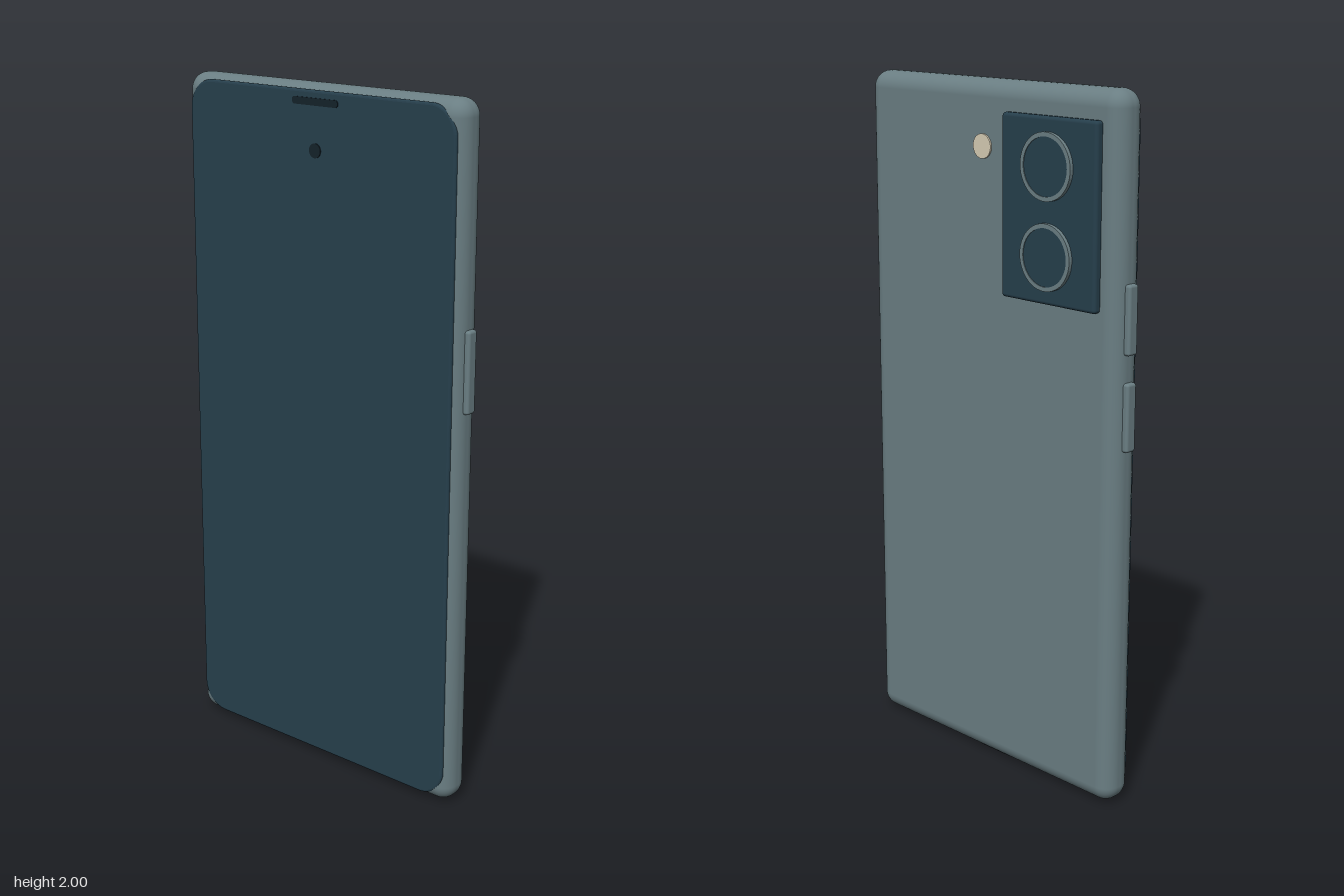
import * as THREE from 'three';
import { RoundedBoxGeometry } from 'three/addons/geometries/RoundedBoxGeometry.js';

const material = (name, color) => {
  const m = new THREE.MeshStandardMaterial({ color });
  m.name = name;
  return m;
};

// Rounded rectangle outline centred on the origin
function roundedRect(w, h, r) {
  const s = new THREE.Shape();
  const x = w / 2, y = h / 2;
  s.moveTo(-x + r, -y);
  s.lineTo(x - r, -y);
  s.absarc(x - r, -y + r, r, -Math.PI / 2, 0);
  s.absarc(x - r, y - r, r, 0, Math.PI / 2);
  s.absarc(-x + r, y - r, r, Math.PI / 2, Math.PI);
  s.absarc(-x + r, -y + r, r, Math.PI, Math.PI * 1.5);
  return s;
}

export function createModel() {
  const phone = new THREE.Group();
  phone.name = 'phone';

  const shell = material('grey green shell', 0x6a7e83);
  const glass = material('dark blue glass', 0x263f4c);
  const black = material('near black', 0x14222a);
  const cream = material('cream flash', 0xd6ccb4);

  const add = (name, geometry, mat, x, y, z) => {
    const mesh = new THREE.Mesh(geometry, mat);
    mesh.name = name;
    mesh.position.set(x, y, z);
    phone.add(mesh);
    return mesh;
  };
  const box = (name, w, h, d, r, mat, x, y, z) =>
    add(name, new RoundedBoxGeometry(w, h, d, 4, r), mat, x, y, z);
  // Disc facing front and back
  const disc = (name, r, depth, mat, x, y, z) =>
    add(name, new THREE.CylinderGeometry(r, r, depth, 40).rotateX(Math.PI / 2), mat, x, y, z);

  const midZ = 0.013;

  // Body with fully rounded edges
  add('body', new RoundedBoxGeometry(0.97, 1.995, 0.106, 6, 0.048), shell, 0, 1.0025, midZ);

  // Screen with bevelled rim
  const bevel = 0.007;
  add('screen', new THREE.ExtrudeGeometry(roundedRect(0.916, 1.951, 0.075), {
    depth: 0.002, bevelEnabled: true, bevelThickness: bevel, bevelSize: bevel,
    bevelSegments: 3, curveSegments: 8,
  }), glass, 0, 1.003, 0.0575);

  // Earpiece and front camera
  add('earpiece', new THREE.ExtrudeGeometry(roundedRect(0.16, 0.02, 0.009), {
    depth: 0.005, bevelEnabled: false,
  }), black, 0, 1.955, 0.064);
  disc('frontCamera', 0.02, 0.005, black, 0, 1.825, 0.0665);

  // Side buttons
  box('volumeUpButton', 0.03, 0.19, 0.036, 0.008, shell, -0.485, 1.405, midZ);
  box('volumeDownButton', 0.03, 0.19, 0.036, 0.008, shell, -0.485, 1.14, midZ);
  box('powerButton', 0.03, 0.23, 0.036, 0.008, shell, 0.483, 1.285, midZ);

  // Rear camera plate with two ringed lenses
  box('cameraPlate', 0.345, 0.5, 0.028, 0.01, glass, -0.255, 1.67, -0.048);
  const ringShape = new THREE.Shape().absarc(0, 0, 0.091, 0, Math.PI * 2);
  ringShape.holes.push(new THREE.Path().absarc(0, 0, 0.079, 0, Math.PI * 2, true));
  for (const y of [1.79, 1.55]) {
    add('lensRing', new THREE.ExtrudeGeometry(ringShape, {
      depth: 0.014, bevelEnabled: false, curveSegments: 24,
    }), shell, -0.255, y, -0.073);
    disc('lensGlass', 0.08, 0.01, glass, -0.255, y, -0.066);
  }

  // Rear flash
  disc('flash', 0.034, 0.01, cream, 0.01, 1.82, -0.04);

  // Charging port and speaker holes on the bottom edge
  box('chargingPort', 0.13, 0.012, 0.036, 0.005, black, 0, 0.006, midZ);
  for (const side of [-1, 1]) {
    for (const x of [0.2, 0.255, 0.305]) {
      add('speakerHole', new THREE.CylinderGeometry(0.014, 0.014, 0.01, 20), black, side * x, 0.005, midZ);
    }
  }

  return phone;
}
